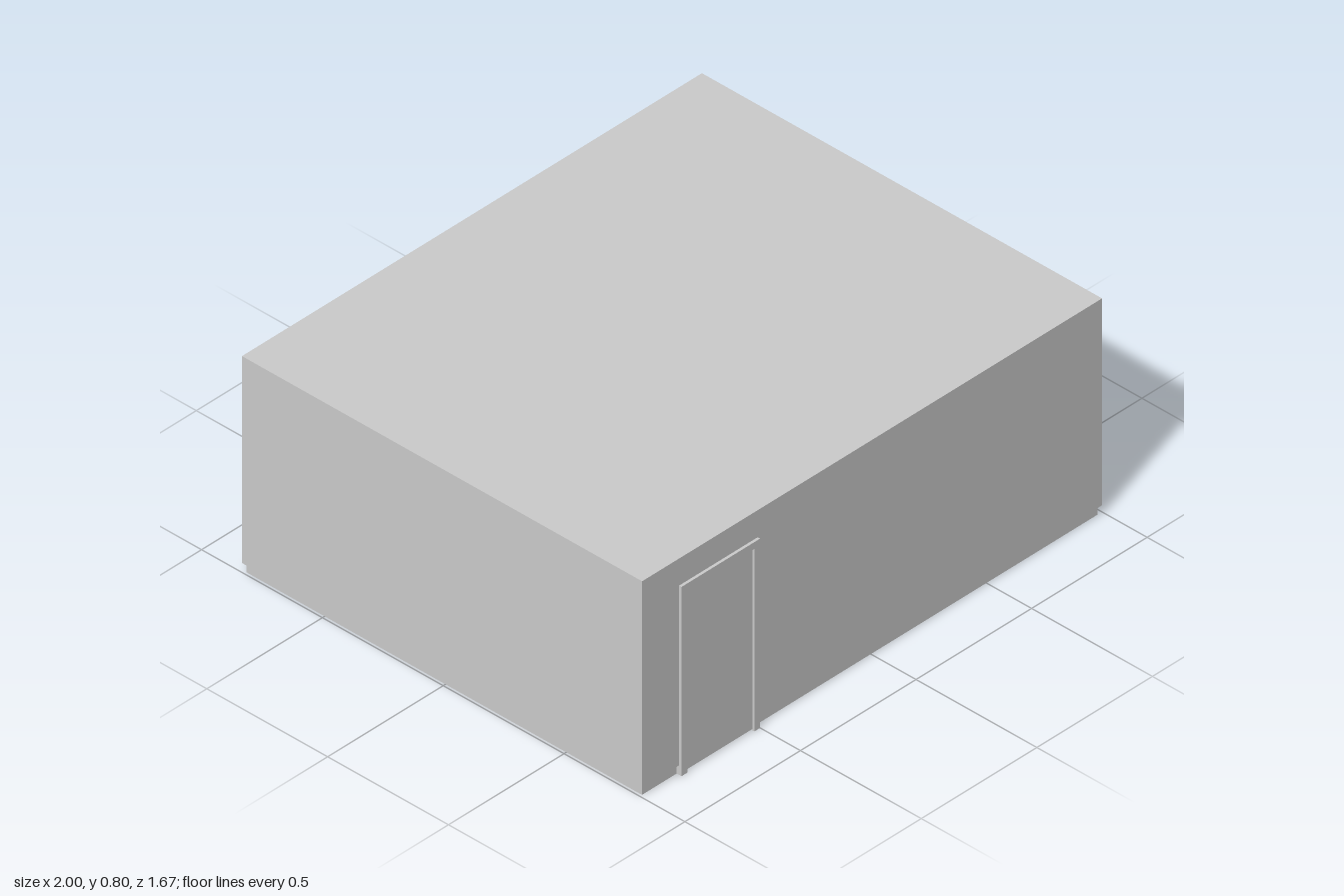
import * as THREE from 'three';

const mat = new THREE.MeshStandardMaterial({ color: 0xcccccc, side: THREE.DoubleSide });

// Room limits
const X0 = -1, X1 = 0.99, Z0 = -0.833, Z1 = 0.823, H = 0.8, BASE = 0.035, T = 0.01;
// Door frame and mouse hole
const DOOR = { x0: -0.84, x1: -0.5, top: 0.7, trim: 0.025 };
const HOLE = { z: -0.16, r: 0.1, inner: 0.086 };

function polygon(points) {
  return new THREE.Shape(points.map(([x, y]) => new THREE.Vector2(x, y)));
}

function rect(x0, y0, x1, y1) {
  return polygon([[x0, y0], [x1, y0], [x1, y1], [x0, y1]]);
}

export function createModel() {
  const room = new THREE.Group();
  room.name = 'room';

  const add = (name, geometry, parent = room) => {
    const mesh = new THREE.Mesh(geometry, mat);
    mesh.name = name;
    parent.add(mesh);
    return mesh;
  };
  const box = (name, x0, x1, y0, y1, z0, z1, parent) => {
    const g = new THREE.BoxGeometry(x1 - x0, y1 - y0, z1 - z0);
    g.translate((x0 + x1) / 2, (y0 + y1) / 2, (z0 + z1) / 2);
    return add(name, g, parent);
  };
  // Extrude a shape drawn in x, y from z0 to z1
  const slab = (name, shape, z0, z1, parent) => {
    const g = new THREE.ExtrudeGeometry(shape, { depth: z1 - z0, bevelEnabled: false, curveSegments: 20 });
    g.translate(0, 0, z0);
    return add(name, g, parent);
  };
  // Extrude a shape drawn in z, y from x1 inward to x0
  const sideSlab = (name, shape, x0, x1) => {
    const mesh = slab(name, shape, -x1, -x0);
    mesh.geometry.rotateY(-Math.PI / 2);
    return mesh;
  };

  // Ceiling and plain walls
  box('ceiling', X0, X1, H - T, H, Z0, Z1);
  box('backWall', X0, X1, BASE, H - T, Z0, Z0 + T);
  box('leftWall', X0, X0 + T, BASE, H - T, Z0 + T, Z1 - T);

  // Front wall, notched for the doorway
  const d0 = DOOR.x0 + 0.01, d1 = DOOR.x1 - 0.01, dt = DOOR.top - 0.01;
  slab('frontWall', polygon([
    [X0, BASE], [d0, BASE], [d0, dt], [d1, dt], [d1, BASE], [X1, BASE], [X1, H - T], [X0, H - T],
  ]), Z1 - T, Z1);

  // Side wall with the arched mouse hole
  const r = HOLE.r - 0.005, a = Math.asin(BASE / r);
  const side = new THREE.Shape();
  side.moveTo(Z0 + T, BASE);
  side.lineTo(HOLE.z - r * Math.cos(a), BASE);
  side.absarc(HOLE.z, 0, r, Math.PI - a, a, true);
  side.lineTo(Z1 - T, BASE);
  side.lineTo(Z1 - T, H - T);
  side.lineTo(Z0 + T, H - T);
  sideSlab('mouseHoleWall', side, X1 - T, X1);

  // Arched trim around the mouse hole
  const arch = new THREE.Shape();
  arch.absarc(HOLE.z, 0, HOLE.r, 0, Math.PI, false);
  arch.absarc(HOLE.z, 0, HOLE.inner, Math.PI, 0, true);
  sideSlab('mouseHoleTrim', arch, X1 - 0.03, 1);

  // Skirting boards, broken at the door and the mouse hole
  const skirting = new THREE.Group();
  skirting.name = 'skirting';
  room.add(skirting);
  const S = 0.015, top = 0.04;
  const xa = X0 + T, xb = X1 - T, za = Z0 + T, zb = Z1 - T;
  box('backSkirting', xa, xb, 0, top, za, za + S, skirting);
  box('leftSkirting', xa, xa + S, 0, top, za + S, zb - S, skirting);
  for (const [p, q] of [[xa, DOOR.x0], [DOOR.x1, xb]])
    box('frontSkirting', p, q, 0, top, zb - S, zb, skirting);
  for (const [p, q] of [[za + S, HOLE.z - HOLE.r], [HOLE.z + HOLE.r, zb - S]])
    box('mouseHoleSkirting', xb - S, xb, 0, top, p, q, skirting);

  // Door frame, showing on both sides of the wall
  const door = new THREE.Group();
  door.name = 'door';
  room.add(door);
  const { x0, x1, trim } = DOOR;
  slab('doorFrame', polygon([
    [x0, 0], [x0 + trim, 0], [x0 + trim, DOOR.top - trim], [x1 - trim, DOOR.top - trim],
    [x1 - trim, 0], [x1, 0], [x1, DOOR.top], [x0, DOOR.top],
  ]), Z1 - 0.035, 0.833, door);

  // Door leaf with two recessed panels, the upper one with a round crown
  const mid = (x0 + x1) / 2, pw = 0.105, crown = 0.05;
  const leaf = rect(x0 + trim, 0.005, x1 - trim, DOOR.top - trim);
  const upper = new THREE.Path();
  upper.moveTo(mid - pw, 0.29);
  upper.lineTo(mid + pw, 0.29);
  upper.lineTo(mid + pw, 0.57);
  upper.lineTo(mid + crown + 0.015, 0.57);
  upper.lineTo(mid + crown, 0.585);
  upper.absarc(mid, 0.585, crown, 0, Math.PI, false);
  upper.lineTo(mid - crown - 0.015, 0.57);
  upper.lineTo(mid - pw, 0.57);
  const lower = rect(mid - pw, 0.06, mid + pw, 0.2);
  leaf.holes.push(upper, lower);
  slab('doorLeaf', leaf, Z1 - 0.025, Z1 - 0.008, door);
  box('doorBacking', x0 + trim, x1 - trim, 0.005, DOOR.top - trim, Z1 - 0.008, Z1 + 0.002, door);

  // Raised fields inside the recesses
  box('upperField', mid - 0.085, mid + 0.085, 0.31, 0.55, Z1 - 0.014, Z1 - 0.008, door);
  box('lowerField', mid - 0.085, mid + 0.085, 0.08, 0.18, Z1 - 0.014, Z1 - 0.008, door);

  // Inside handle: back plate and upright grip
  const hx = x1 - trim - 0.024;
  box('handlePlate', hx - 0.012, hx + 0.012, 0.24, 0.35, Z1 - 0.03, Z1 - 0.025, door);
  const grip = new THREE.CatmullRomCurve3([
    [0.26, 0.03], [0.275, 0.05], [0.295, 0.055], [0.315, 0.05], [0.33, 0.03],
  ].map(([y, z]) => new THREE.Vector3(hx, y, Z1 - z)));
  add('handleGrip', new THREE.TubeGeometry(grip, 16, 0.006, 8), door);

  return room;
}
